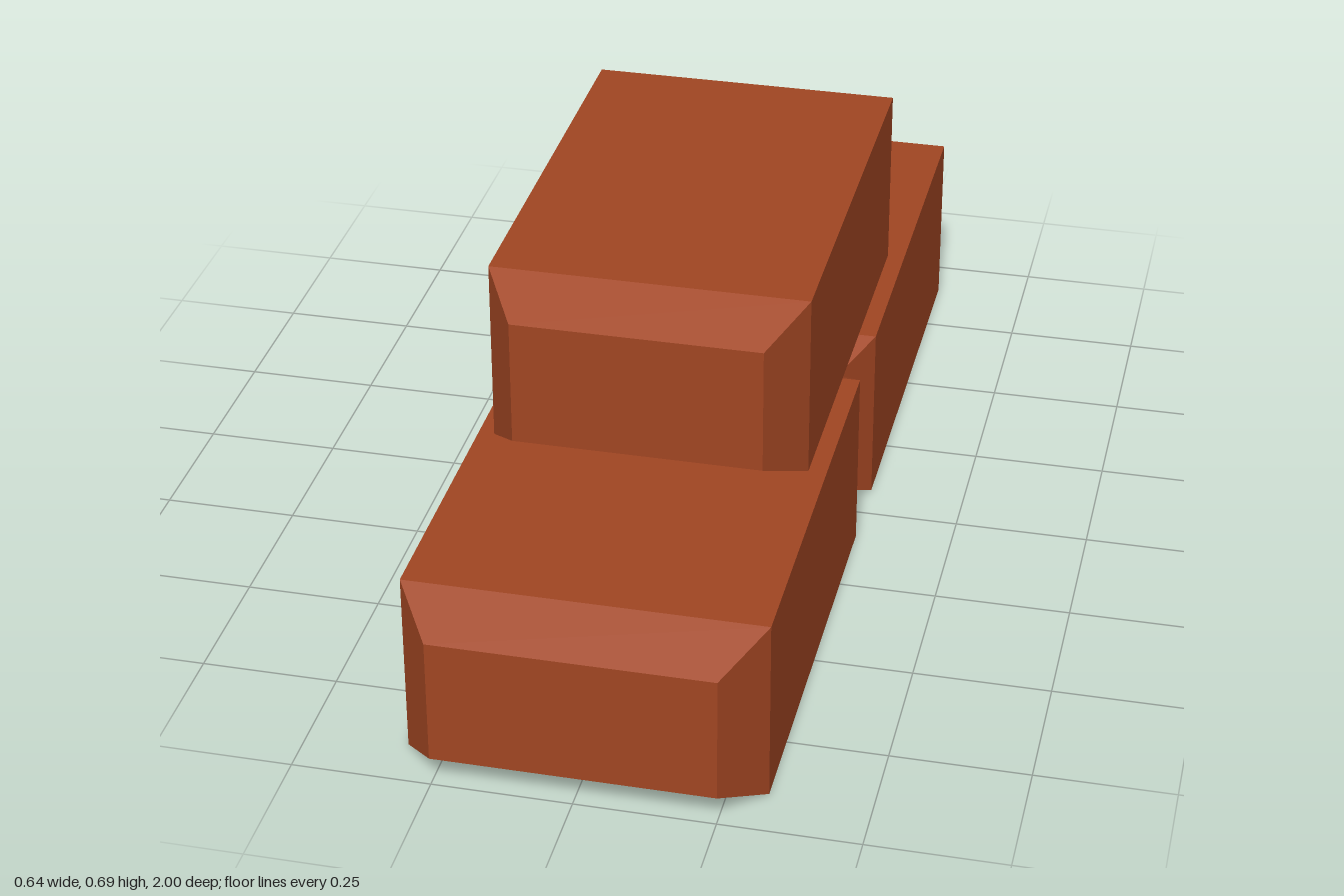
import * as THREE from 'three';

const LENGTH = 1.017, BEVEL = 0.1, HEIGHT = 0.345;

// Block whose two ends taper to a smaller face
function blockGeometry(width, endWidth, endHeight) {
  const geo = new THREE.BoxGeometry(width, HEIGHT, LENGTH, 1, 1, 3);
  const pos = geo.attributes.position;
  for (let i = 0; i < pos.count; i++) {
    const z = pos.getZ(i);
    if (Math.abs(z) > LENGTH * 0.4) {
      pos.setX(i, Math.sign(pos.getX(i)) * endWidth / 2);
      pos.setY(i, Math.sign(pos.getY(i)) * endHeight / 2);
    } else {
      pos.setZ(i, Math.sign(z) * (LENGTH / 2 - BEVEL));
    }
  }
  const flat = geo.toNonIndexed();
  flat.computeVertexNormals();
  return flat;
}

export function createModel() {
  const group = new THREE.Group();
  const material = new THREE.MeshStandardMaterial({ color: 0xa04522, flatShading: true });

  const addBlock = (name, geometry, y, z) => {
    const mesh = new THREE.Mesh(geometry, material);
    mesh.name = name;
    mesh.position.set(0, y, z);
    group.add(mesh);
  };

  // Two lower blocks end to end, their tips just overlapping
  const lower = blockGeometry(0.64, 0.502, 0.237);
  const offset = 1 - LENGTH / 2;
  addBlock('lowerFrontBlock', lower, HEIGHT / 2, offset);
  addBlock('lowerBackBlock', lower, HEIGHT / 2, -offset);

  // Narrower block stacked over the joint
  addBlock('upperBlock', blockGeometry(0.577, 0.452, 0.237), 0.35 + HEIGHT / 2, 0.013);

  return group;
}
